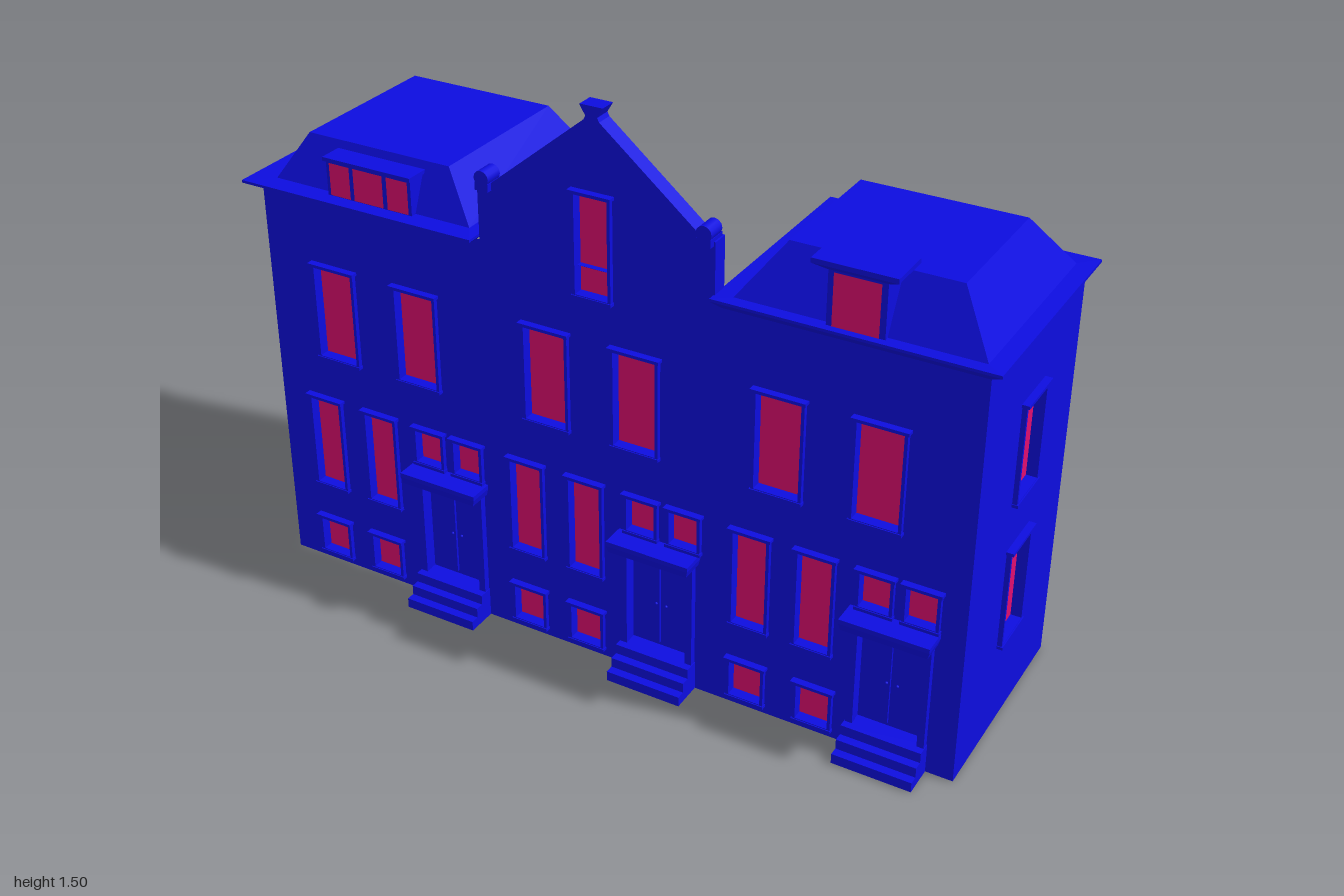
import * as THREE from 'three';

const blue = new THREE.MeshStandardMaterial({ color: 0x0d0de0, side: THREE.DoubleSide });
blue.name = 'blue masonry';
const pink = new THREE.MeshStandardMaterial({ color: 0xe00e70 });
pink.name = 'pink glass';

function add(parent, name, geo, mat, x = 0, y = 0, z = 0) {
  const m = new THREE.Mesh(geo, mat);
  m.name = name;
  m.position.set(x, y, z);
  parent.add(m);
  return m;
}

function box(parent, name, x0, x1, y0, y1, z0, z1) {
  return add(parent, name, new THREE.BoxGeometry(x1 - x0, y1 - y0, z1 - z0), blue,
    (x0 + x1) / 2, (y0 + y1) / 2, (z0 + z1) / 2);
}

function rectPath(P, x0, x1, y0, y1) {
  const p = new P();
  p.moveTo(x0, y0); p.lineTo(x1, y0); p.lineTo(x1, y1); p.lineTo(x0, y1); p.closePath();
  return p;
}

// Shell through stacked rectangles [x0, x1, z0, z1, y]
function loft(rects, cap) {
  const pos = [];
  const ring = ([x0, x1, z0, z1, y]) => [[x0, y, z1], [x1, y, z1], [x1, y, z0], [x0, y, z0]];
  const quad = (a, b, c, d) => pos.push(...a, ...b, ...c, ...a, ...c, ...d);
  for (let i = 0; i + 1 < rects.length; i++) {
    const a = ring(rects[i]), b = ring(rects[i + 1]);
    for (let k = 0; k < 4; k++) quad(a[k], a[(k + 1) % 4], b[(k + 1) % 4], b[k]);
  }
  if (cap) quad(...ring(rects[rects.length - 1]));
  const g = new THREE.BufferGeometry();
  g.setAttribute('position', new THREE.Float32BufferAttribute(pos, 3));
  g.computeVertexNormals();
  return g;
}

// Opening: projecting frame, recessed pane, closed back, lintel and sill. Local z = 0 is the wall.
function opening(parent, name, [x, w, y0, y1], glass = true) {
  const g = new THREE.Group();
  g.name = name;
  const t = 0.008, h = w / 2;
  const frame = rectPath(THREE.Shape, x - h - t, x + h + t, y0 - t, y1 + t);
  frame.holes.push(rectPath(THREE.Path, x - h, x + h, y0, y1));
  add(g, 'frame', new THREE.ExtrudeGeometry(frame, { depth: 0.037, bevelEnabled: false }), blue, 0, 0, -0.025);
  box(g, 'paneBack', x - h, x + h, y0, y1, -0.025, -0.019);
  if (glass) add(g, 'pane', new THREE.PlaneGeometry(w, y1 - y0), pink, x, (y0 + y1) / 2, -0.016);
  box(g, 'lintel', x - h - 0.013, x + h + 0.013, y1 + 0.002, y1 + 0.01, 0, 0.019);
  box(g, 'sill', x - h - 0.01, x + h + 0.01, y0 - 0.01, y0 - 0.002, 0, 0.015);
  parent.add(g);
}

function wall(parent, name, shape, openings) {
  for (const [x, w, y0, y1] of openings)
    shape.holes.push(rectPath(THREE.Path, x - w / 2, x + w / 2, y0, y1));
  add(parent, name, new THREE.ShapeGeometry(shape), blue);
}

export function createModel() {
  const model = new THREE.Group();
  model.name = 'townhouseRow';

  // Front facade with the central gable
  const facade = new THREE.Group();
  facade.name = 'facade';
  facade.position.z = 0.26;
  model.add(facade);
  const windows = [], doors = [];
  const row = (xs, w, y0, y1) => xs.forEach(x => windows.push([x, w, y0, y1]));
  row([-0.765, -0.516, -0.136, 0.112, 0.487, 0.735], 0.114, 0.65, 0.905);
  row([-0.826, -0.652, -0.203, -0.032, 0.425, 0.594], 0.088, 0.25, 0.512);
  row([-0.497, -0.38, 0.128, 0.246, 0.746, 0.861], 0.077, 0.418, 0.512);
  row([-0.829, -0.658, -0.203, -0.032, 0.422, 0.604], 0.086, 0.03, 0.132);
  row([0], 0.088, 1.03, 1.285);
  const doorXs = [-0.437, 0.176, 0.797];
  doorXs.forEach(x => doors.push([x, 0.17, 0.08, 0.365]));

  const gable = [[0.315, 1.1], [0.315, 1.245], [0.28, 1.25], [0.02, 1.465], [0.015, 1.475], [0.03, 1.5]];
  const outline = [...gable, ...gable.map(([x, y]) => [-x, y]).reverse()];
  const shape = new THREE.Shape(
    [[-0.97, 0], [0.97, 0], [0.97, 1.1], ...outline, [-0.97, 1.1]].map(p => new THREE.Vector2(...p)));
  wall(facade, 'frontWall', shape, [...windows, ...doors]);
  windows.forEach(o => opening(facade, 'window', o));
  doors.forEach(o => opening(facade, 'door', o, false));

  // Coping that gives the gable its depth
  const rim = new THREE.Shape(outline.map(p => new THREE.Vector2(...p)));
  const inner = [[0.3, 1.1005], [0.3, 1.232], [0.275, 1.237], [0, 1.462]];
  rim.holes.push(new THREE.Path([...inner, ...inner.slice(0, 3).map(([x, y]) => [-x, y]).reverse()]
    .map(p => new THREE.Vector2(...p))));
  add(facade, 'gableCoping', new THREE.ExtrudeGeometry(rim, { depth: 0.044, bevelEnabled: false }), blue, 0, 0, -0.045);
  for (const s of [-1, 1]) {
    const f = add(facade, 'gableFinial', new THREE.CylinderGeometry(0.02, 0.02, 0.05, 12), blue, s * 0.293, 1.266, -0.01);
    f.rotation.x = Math.PI / 2;
    box(facade, 'finialBase', s * 0.293 - 0.018, s * 0.293 + 0.018, 1.235, 1.255, -0.04, 0.015);
  }

  // Door surrounds, canopies and stoops
  for (const x of doorXs) {
    const p = new THREE.Group();
    p.name = 'entrance';
    p.position.x = x;
    facade.add(p);
    for (const s of [-1, 1]) {
      box(p, 'jamb', s * 0.092 - 0.009, s * 0.092 + 0.009, 0.08, 0.37, 0, 0.018);
      box(p, 'doorLeaf', s * 0.04 - 0.034, s * 0.04 + 0.034, 0.09, 0.34, -0.02, -0.012);
      add(p, 'knob', new THREE.SphereGeometry(0.004, 8, 6), blue, s * 0.014, 0.21, -0.01);
    }
    add(p, 'canopy', loft([[-0.1, 0.1, 0, 0.04, 0.37], [-0.108, 0.108, 0, 0.062, 0.376],
      [-0.113, 0.113, 0, 0.066, 0.395], [-0.113, 0.113, 0, 0.066, 0.407]], true), blue);
    for (let i = 0; i < 3; i++)
      box(p, 'step', -0.103, 0.103, i * 0.027, (i + 1) * 0.027, 0, 0.084 - i * 0.023);
  }

  // Side walls, each with two windows
  for (const s of [-1, 1]) {
    const side = new THREE.Group();
    side.name = s > 0 ? 'leftWall' : 'rightWall';
    side.position.x = s * 0.97;
    side.rotation.y = s * Math.PI / 2;
    const c = s * 0.034;
    const list = [[c, 0.122, 0.652, 0.905], [c, 0.122, 0.25, 0.51]];
    const a = s > 0 ? -0.26 : -0.33, b = s > 0 ? 0.33 : 0.26;
    wall(side, 'wall', rectPath(THREE.Shape, a, b, 0, 1.1), list);
    list.forEach(o => opening(side, 'window', o));
    model.add(side);
  }

  // Hollow mansard roofs with flared eaves
  add(model, 'rightRoof', loft([[-0.93, -0.35, -0.3, 0.25, 1.092], [-0.97, -0.335, -0.33, 0.265, 1.09],
    [-1, -0.315, -0.342, 0.302, 1.108], [-1, -0.315, -0.342, 0.302, 1.115],
    [-0.93, -0.35, -0.295, 0.25, 1.117], [-0.855, -0.437, -0.24, 0.2, 1.237]], true), blue);
  add(model, 'leftRoof', loft([[0.357, 0.957, -0.29, 0.25, 1.092], [0.335, 0.97, -0.33, 0.262, 1.09],
    [0.312, 1, -0.342, 0.28, 1.108], [0.312, 1, -0.342, 0.28, 1.115],
    [0.357, 0.957, -0.29, 0.25, 1.117], [0.455, 0.868, -0.19, 0.18, 1.252]], true), blue);

  // Dormers
  const wide = new THREE.Group();
  wide.name = 'wideDormer';
  model.add(wide);
  box(wide, 'dormerBody', -0.757, -0.506, 1.112, 1.208, 0.205, 0.265);
  box(wide, 'dormerRoof', -0.762, -0.502, 1.208, 1.218, 0.2, 0.272);
  for (const [x, w] of [[-0.717, 0.06], [-0.632, 0.087], [-0.545, 0.062]])
    add(wide, 'dormerPane', new THREE.PlaneGeometry(w, 0.085), pink, x, 1.161, 0.267);

  const narrow = new THREE.Group();
  narrow.name = 'narrowDormer';
  model.add(narrow);
  box(narrow, 'dormerBody', 0.588, 0.728, 1.112, 1.256, 0.17, 0.262);
  add(narrow, 'dormerPane', new THREE.PlaneGeometry(0.112, 0.13), pink, 0.658, 1.182, 0.264);
  add(narrow, 'dormerCornice', loft([[0.585, 0.731, 0.17, 0.265, 1.252], [0.556, 0.76, 0.17, 0.285, 1.268],
    [0.556, 0.76, 0.17, 0.285, 1.28]], true), blue);

  return model;
}
